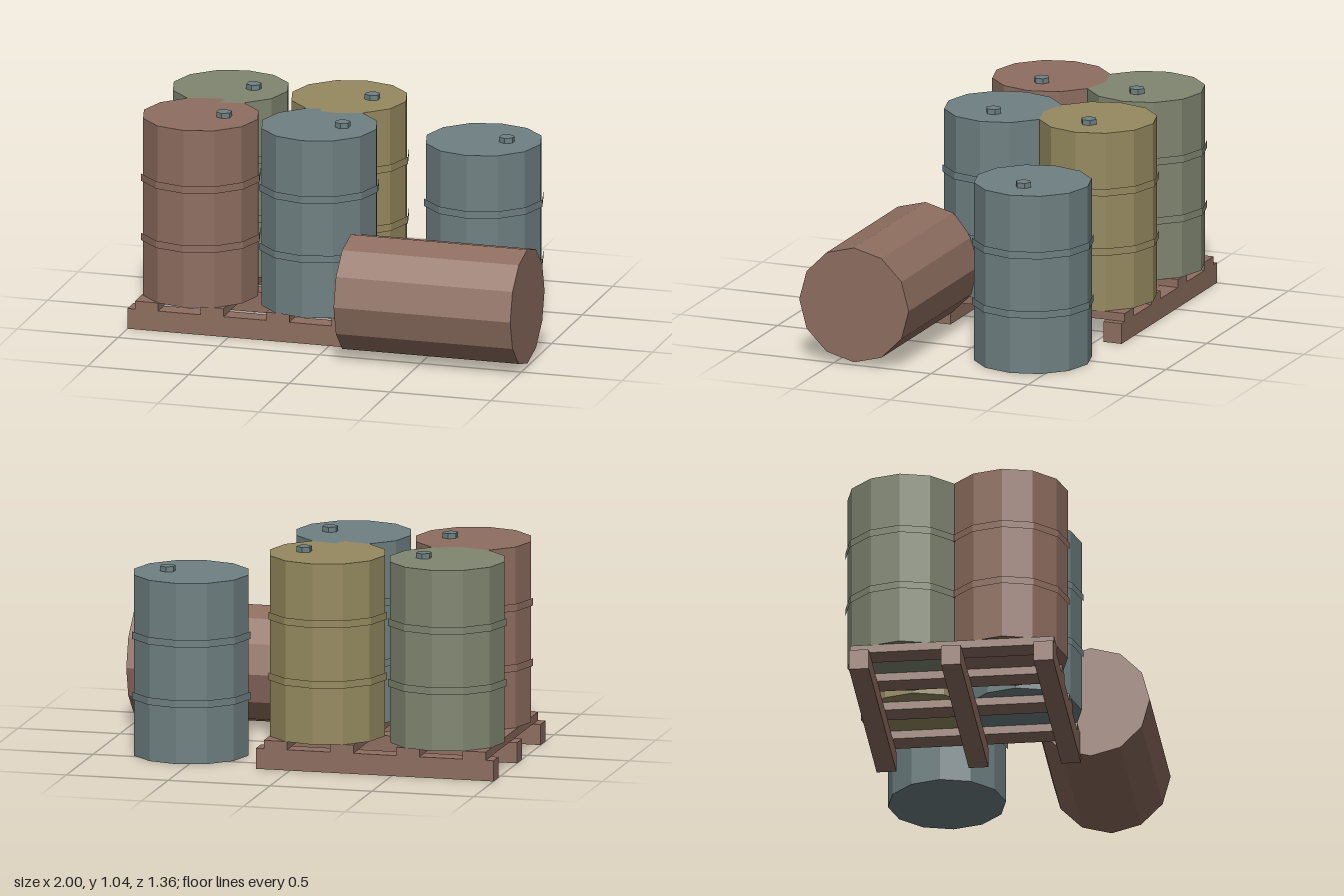
import * as THREE from 'three';

const paint = (name, color) => {
  const m = new THREE.MeshStandardMaterial({ color, flatShading: true });
  m.name = name;
  return m;
};

const RADIUS = 0.282, HEIGHT = 0.876, SIDES = 12;

export function createModel() {
  const rust = paint('rust brown', 0x8e6e60);
  const steel = paint('steel blue', 0x6f8082);
  const ochre = paint('ochre yellow', 0x968a60);
  const olive = paint('olive green', 0x808671);

  const model = new THREE.Group();
  model.name = 'drumsOnPallet';

  const add = (parent, name, geometry, material, x, y, z) => {
    const mesh = new THREE.Mesh(geometry, material);
    mesh.name = name;
    mesh.position.set(x, y, z);
    parent.add(mesh);
    return mesh;
  };

  const body = new THREE.CylinderGeometry(RADIUS, RADIUS, HEIGHT, SIDES);
  const hoop = new THREE.CylinderGeometry(0.291, 0.291, 0.036, SIDES, 1, true);
  const bung = new THREE.CylinderGeometry(0.038, 0.038, 0.026, 6);

  // Standing drum with two open hoops and an off-centre bung
  const addDrum = (name, material, x, y, z) => {
    const drum = new THREE.Group();
    drum.name = name;
    drum.position.set(x, y, z);
    add(drum, 'drumBody', body, material, 0, HEIGHT / 2, 0);
    for (const h of [0.292, 0.585]) add(drum, 'hoop', hoop, material, 0, h, 0);
    add(drum, 'bung', bung, steel, 0.115, HEIGHT + 0.012, 0);
    model.add(drum);
  };
  addDrum('frontBrownDrum', rust, -0.71, 0.14, 0.1);
  addDrum('frontBlueDrum', steel, -0.122, 0.14, 0.1);
  addDrum('backGreenDrum', olive, -0.71, 0.14, -0.39);
  addDrum('backYellowDrum', ochre, -0.122, 0.14, -0.39);
  addDrum('groundDrum', steel, 0.56, 0, -0.34);

  // Plain drum lying on its side
  const fallen = add(model, 'fallenDrum', body, rust, 0.561, 0.295, 0.397);
  fallen.rotation.z = Math.PI / 2;

  // Pallet: three runners with four boards across them
  const pallet = new THREE.Group();
  pallet.name = 'pallet';
  const runner = new THREE.BoxGeometry(1.166, 0.1, 0.094);
  const board = new THREE.BoxGeometry(0.115, 0.04, 0.976);
  for (const z of [0.298, -0.144, -0.584]) add(pallet, 'runner', runner, rust, -0.417, 0.05, z);
  for (let i = 0; i < 4; i++) add(pallet, 'board', board, rust, -0.905 + i * 0.325, 0.12, -0.143);
  model.add(pallet);

  return model;
}
